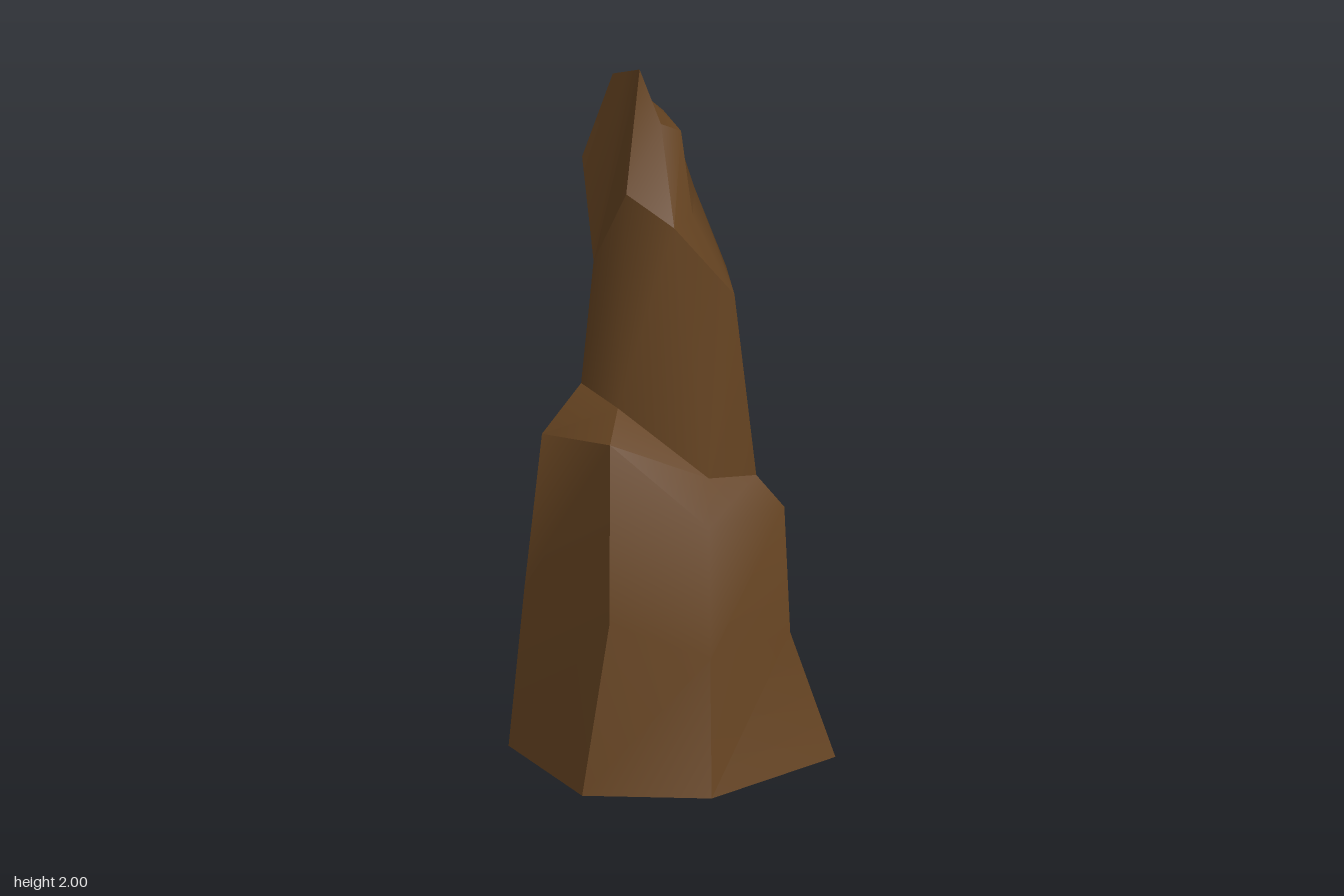
import * as THREE from 'three';
import { toCreasedNormals } from 'three/addons/utils/BufferGeometryUtils.js';

// Irregular rings of [x, y, z], running left, front, right, back.
// Foot rings have an eighth corner, so that the back ridge can twist to the next side.
const base = [[-.44, 0, 0], [-.28, 0, .37], [.07, 0, .43], [.44, 0, .18], [.28, 0, -.21], [.08, 0, -.43], [-.28, 0, -.38], [-.28, 0, -.38]];
const waist = [[-.4, .48, .03], [-.2, .49, .33], [.075, .38, .355], [.32, .36, .14], [.25, .36, -.17], [.03, .36, -.34], [-.257, .48, -.277], [-.318, .48, -.16]];
const ledgeOuter = [[-.355, .95, .06], [-.19, .99, .255], [.08, .74, .28], [.305, .73, .13], [.235, .55, -.15], [.03, .71, -.28], [-.235, .95, -.175], [-.355, .95, .06]];
const ledgeInner = [[-.24, 1.07, 0], [-.155, 1.05, .14], [.09, .85, .19], [.23, .82, .11], [.17, .81, -.09], [.02, .88, -.205], [-.195, 1.02, -.11], [-.24, 1.07, 0]];
const columnTop = [[-.2, 1.41, -.05], [-.125, 1.66, .08], [0, 1.58, .145], [.17, 1.36, .11], [.17, 1.36, -.09], [.02, 1.58, -.2], [-.18, 1.42, -.09]];
const shoulder = [[-.2, 1.41, -.05], [-.125, 1.66, .08], [0, 1.58, .145], [.06, 1.58, .06], [.085, 1.59, -.11], [.02, 1.58, -.2], [-.22, 1.68, -.15]];
const tip = [[-.11, 1.97, -.05], [-.08, 2, .01], [-.02, 1.83, 0], [.04, 1.79, -.04], [.02, 1.805, -.08], [0, 1.82, -.12], [-.14, 1.94, -.11]];

const toGeometry = (points, crease) => {
  const geo = new THREE.BufferGeometry();
  geo.setAttribute('position', new THREE.Float32BufferAttribute(points.flat(), 3));
  return toCreasedNormals(geo, crease);
};

// Skins a stack of rings
function loft(rings, crease) {
  const points = [];
  const n = rings[0].length;
  for (let r = 0; r + 1 < rings.length; r++) {
    const lo = rings[r], hi = rings[r + 1];
    for (let i = 0; i < n; i++) {
      const j = (i + 1) % n;
      points.push(lo[i], lo[j], hi[j], lo[i], hi[j], hi[i]);
    }
  }
  return toGeometry(points, crease);
}

// Closes a ring with a fan around its middle
function cap(ring) {
  const middle = [0, 1, 2].map((k) => ring.reduce((s, p) => s + p[k], 0) / ring.length);
  return toGeometry(ring.flatMap((p, i) => [middle, p, ring[(i + 1) % ring.length]]), 0.8);
}

export function createModel() {
  const group = new THREE.Group();
  group.name = 'rockSpire';
  // Double-sided, as the foot is hollow and open below
  const brown = new THREE.MeshStandardMaterial({ color: 0x654321, side: THREE.DoubleSide });
  brown.name = 'earthBrown';
  const add = (name, geo) => {
    const mesh = new THREE.Mesh(geo, brown);
    mesh.name = name;
    group.add(mesh);
  };

  // Wide tapering foot with a sloping ledge
  add('foot', loft([base, waist, ledgeOuter, ledgeInner], 0.8));
  // Narrow column
  add('column', loft([ledgeInner.slice(0, 7), columnTop], 1.2));
  // Broken peak with an overhang at the back left
  add('peak', loft([columnTop, shoulder, tip], 0.9));
  // Slanted break face
  add('breakFace', cap(tip));
  return group;
}
